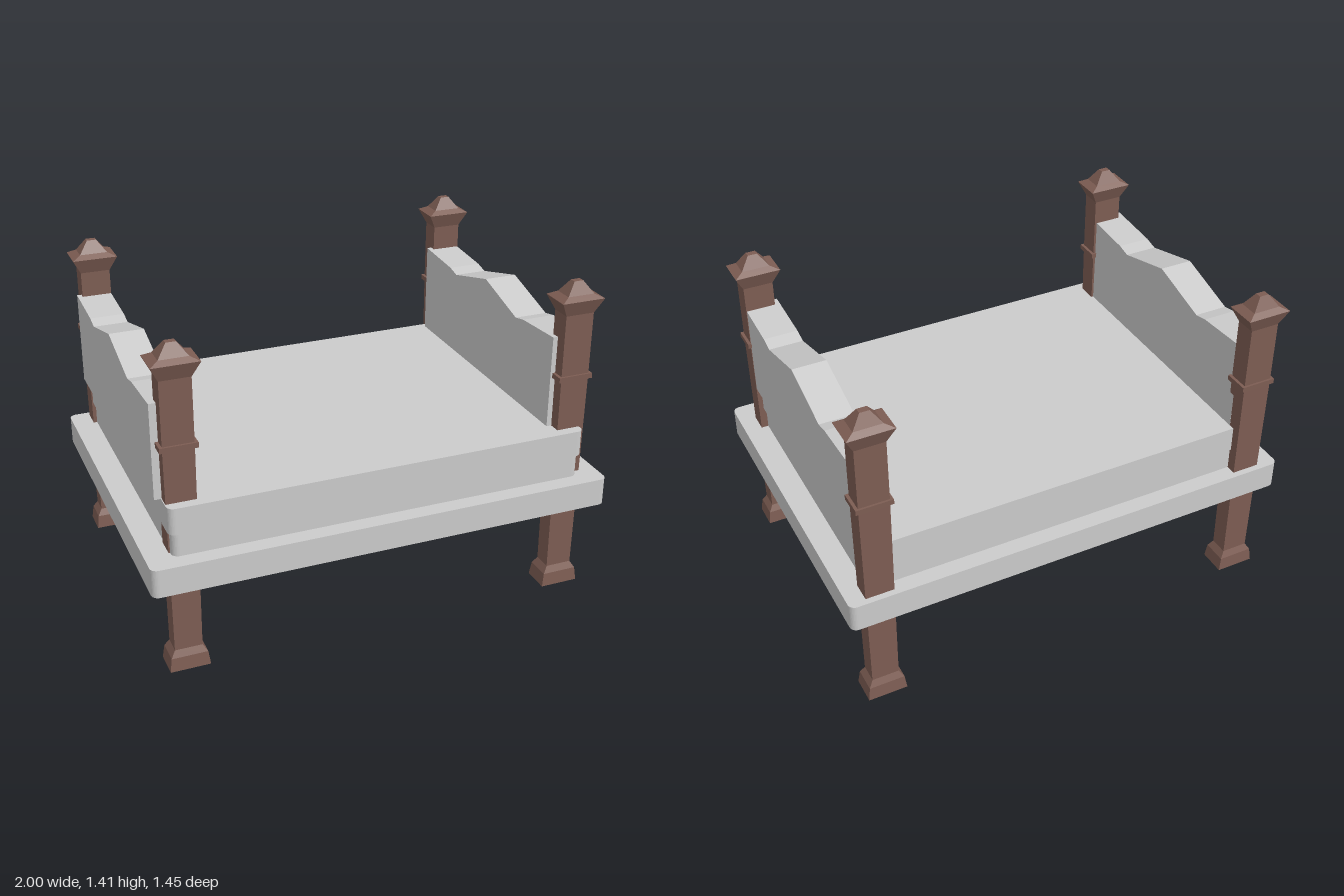
import * as THREE from 'three';

const grey = new THREE.MeshStandardMaterial({ color: 0xcccccc, flatShading: true });
const brown = new THREE.MeshStandardMaterial({ color: 0x7d5d53, flatShading: true });

function addMesh(parent, name, geometry, material) {
  const mesh = new THREE.Mesh(geometry, material);
  mesh.name = name;
  parent.add(mesh);
  return mesh;
}

// Horizontal slab with rounded vertical corners
function slab(halfX, halfZ, y0, y1, r) {
  const s = new THREE.Shape();
  s.absarc(halfX - r, halfZ - r, r, 0, Math.PI / 2);
  s.absarc(-halfX + r, halfZ - r, r, Math.PI / 2, Math.PI);
  s.absarc(-halfX + r, -halfZ + r, r, Math.PI, Math.PI * 1.5);
  s.absarc(halfX - r, -halfZ + r, r, Math.PI * 1.5, Math.PI * 2);
  const g = new THREE.ExtrudeGeometry(s, { depth: y1 - y0, bevelEnabled: false, curveSegments: 4 });
  return g.rotateX(-Math.PI / 2).translate(0, y0, 0);
}

// Post outline as [half width, height], turned with four sides
const POST = [
  [0, 0], [0.085, 0], [0.077, 0.06], [0.058, 0.09], [0.064, 1.0], [0.064, 1.28],
  [0.097, 1.345], [0.06, 1.362], [0.02, 1.415], [0, 1.415],
];
const POST_DEPTH = 0.7;

function makePost(name, x, z) {
  const post = new THREE.Group();
  post.name = name;
  const pts = POST.map(([h, y]) => new THREE.Vector2(h * Math.SQRT2, y));
  const turned = new THREE.LatheGeometry(pts, 4, Math.PI / 4).scale(1, 1, POST_DEPTH);
  addMesh(post, 'postShaft', turned, brown);
  const band = new THREE.BoxGeometry(0.154, 0.022, 0.154 * POST_DEPTH).translate(0, 1, 0);
  addMesh(post, 'postBand', band, brown);
  post.position.set(x, 0, z);
  return post;
}

// End panel with a pointed crest; its outline lies in the z-y plane
function makePanel(name, x) {
  const crest = [[0.6, 1.172], [0.348, 1.156], [0.285, 1.142], [0, 1.22]];
  const bottom = 0.765, thickness = 0.147;
  const s = new THREE.Shape();
  s.moveTo(-0.6, bottom);
  s.lineTo(0.6, bottom);
  crest.forEach(([z, y]) => s.lineTo(z, y));
  crest.slice(0, -1).reverse().forEach(([z, y]) => s.lineTo(-z, y));
  s.closePath();
  const g = new THREE.ExtrudeGeometry(s, { depth: thickness, bevelEnabled: false });
  g.translate(0, 0, -thickness / 2).rotateY(Math.PI / 2);
  const panel = new THREE.Mesh(g, grey);
  panel.name = name;
  panel.position.set(x, 0, -0.035);
  return panel;
}

export function createModel() {
  const bed = new THREE.Group();
  bed.name = 'fourPostBed';

  // Platform and the two mattress layers
  addMesh(bed, 'platform', slab(1, 0.725, 0.428, 0.55, 0.03), grey);
  addMesh(bed, 'lowerMattress', slab(0.895, 0.653, 0.55, 0.65, 0.03), grey);
  addMesh(bed, 'upperMattress', slab(0.906, 0.66, 0.65, 0.765, 0.03), grey);

  // Panels at both ends
  bed.add(makePanel('leftPanel', 0.853));
  bed.add(makePanel('rightPanel', -0.86));

  // Corner posts
  bed.add(makePost('frontLeftPost', 0.865, 0.572));
  bed.add(makePost('frontRightPost', -0.84, 0.572));
  bed.add(makePost('backLeftPost', 0.865, -0.655));
  bed.add(makePost('backRightPost', -0.85, -0.655));

  return bed;
}
